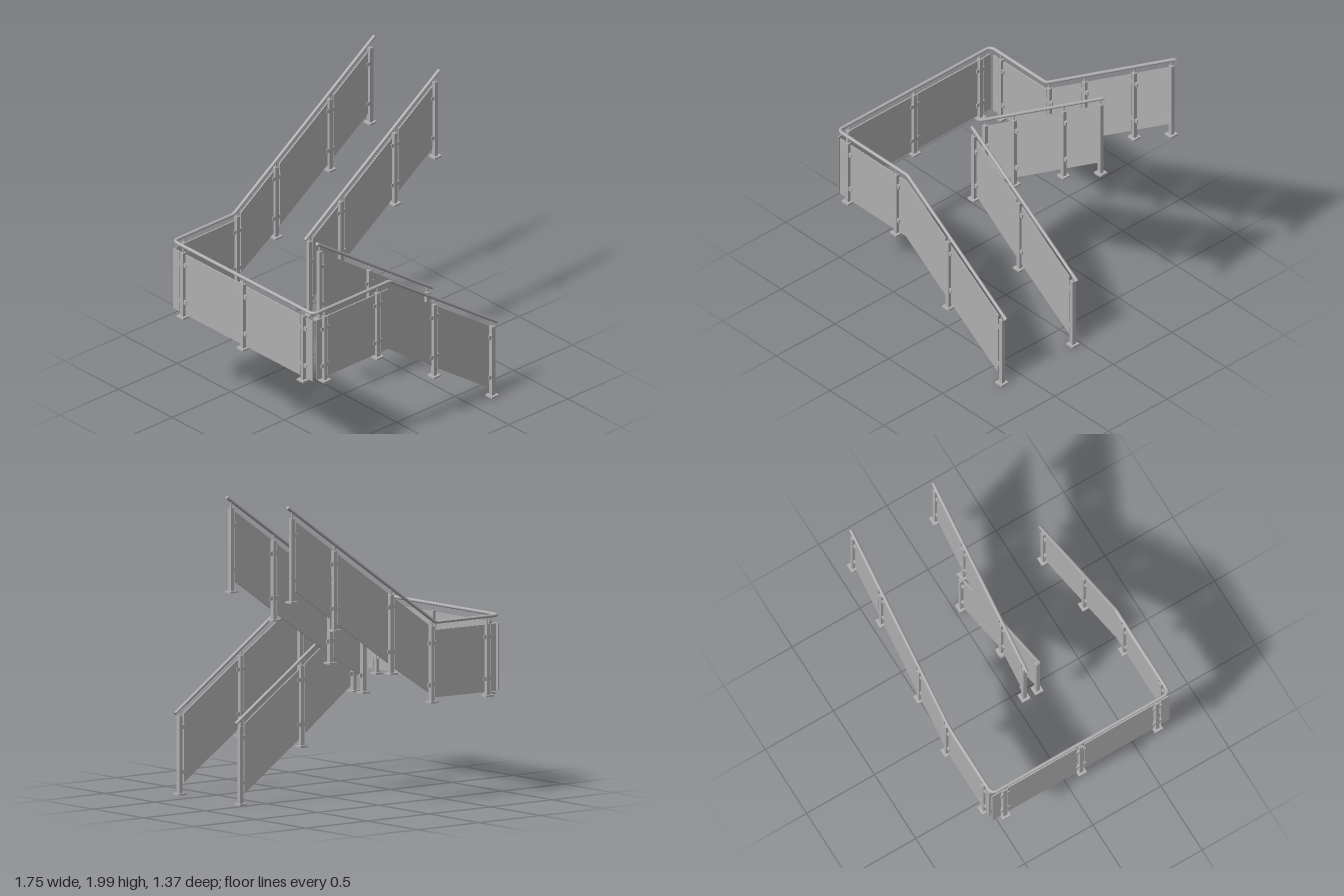
import * as THREE from 'three';

const LEVEL = 1.15, RAIL_R = 0.011, SIDE_X = -0.85, OUT_Z = 0.653;

export function createModel() {
  const model = new THREE.Group();
  model.name = 'stairRailing';
  const steel = new THREE.MeshStandardMaterial({ color: 0xb0b0b0 });
  steel.name = 'grey steel';

  const add = (parent, name, geo, x = 0, y = 0, z = 0) => {
    const m = new THREE.Mesh(geo, steel);
    m.name = name;
    m.position.set(x, y, z);
    parent.add(m);
    return m;
  };

  // Handrail height along each flight
  const up = x => LEVEL + 0.696 * Math.max(0, x + 0.335);
  const down = x => LEVEL - 0.69 * Math.max(0, x + 0.2);
  const upInner = x => LEVEL + 0.696 * (x + 0.335);
  const downInner = x => LEVEL - 0.69 * (x + 0.2);
  const flat = () => LEVEL;

  // Round handrail through points, with rounded bends and closed ends
  function handrail(name, points) {
    const pts = points.map(p => new THREE.Vector3(p[0], p[1], p[2]));
    const path = new THREE.CurvePath();
    let from = pts[0];
    for (let i = 1; i < pts.length; i++) {
      const last = i === pts.length - 1, p = pts[i];
      const r = last ? 0 : points[i][3];
      const dirIn = p.clone().sub(pts[i - 1]).normalize();
      const a = p.clone().addScaledVector(dirIn, -r);
      path.add(new THREE.LineCurve3(from, a));
      if (last) break;
      const b = p.clone().addScaledVector(pts[i + 1].clone().sub(p).normalize(), r);
      path.add(new THREE.QuadraticBezierCurve3(a, p, b));
      from = b;
    }
    const segs = Math.ceil(path.getLength() / 0.012);
    add(model, name, new THREE.TubeGeometry(path, segs, RAIL_R, 14, false));
    for (const [t, s] of [[0, -1], [1, 1]]) {
      const p = path.getPointAt(t), dir = path.getTangentAt(t).multiplyScalar(s);
      const cap = add(model, name + 'Cap', new THREE.CircleGeometry(RAIL_R, 14), p.x, p.y, p.z);
      cap.quaternion.setFromUnitVectors(new THREE.Vector3(0, 0, 1), dir);
    }
  }

  // One straight run along local x: posts [x, foot, clamp sides], panels [x0, x1, bend]
  function run(name, railY, sloped, posts, panels) {
    const g = new THREE.Group();
    g.name = name;
    for (const [x, foot, sides] of posts) {
      const top = railY(x) - 0.045;
      add(g, 'basePlate', new THREE.BoxGeometry(0.06, 0.012, 0.06), x, foot + 0.006, 0);
      add(g, 'post', new THREE.BoxGeometry(0.027, top - foot, 0.027), x, (top + foot) / 2, 0);
      add(g, 'railBracket', new THREE.CylinderGeometry(0.006, 0.006, 0.045, 8), x, top + 0.02, 0);
      // glass clamps on each side of the post
      const onSlope = sloped && x > -0.2;
      for (const s of sides)
        for (const h of onSlope ? [0.43, 0.145] : [0.38, 0.115])
          add(g, 'clamp', new THREE.BoxGeometry(0.024, 0.026, 0.02), x + s * 0.024, foot + h, 0);
    }
    const topY = x => railY(x) - 0.051;
    const lowY = x => railY(x) - (sloped && x > -0.2 ? 0.495 : 0.48);
    for (const [x0, x1, bend] of panels) {
      const xs = bend === undefined ? [x0, x1] : [x0, bend, x1];
      const outline = [
        ...xs.map(x => new THREE.Vector2(x, lowY(x))),
        ...xs.slice().reverse().map(x => new THREE.Vector2(x, topY(x))),
      ];
      const geo = new THREE.ExtrudeGeometry(new THREE.Shape(outline), { depth: 0.008, bevelEnabled: false });
      add(g, 'panel', geo, 0, 0, -0.004);
    }
    model.add(g);
    return g;
  }

  const both = [-1, 1];
  const L = 0.64;

  // Outer lower flight with its piece of landing
  run('frontOuterRun', down, true,
    [[-0.755, L, both], [-0.305, L, both], [0.18, 0.325, both], [0.675, 0, [-1]]],
    [[-0.825, -0.78], [-0.73, -0.33], [-0.275, 0.155, -0.215], [0.205, 0.645]]
  ).position.z = OUT_Z;

  // Inner lower flight
  run('frontInnerRun', downInner, true,
    [[-0.243, L, [1]], [0.18, 0.325, both], [0.675, 0, [-1]]],
    [[-0.215, 0.155], [0.205, 0.645]]
  ).position.z = 0.048;

  // Outer upper flight with its piece of landing
  run('backOuterRun', up, true,
    [[-0.755, L, both], [-0.305, L, both], [0.025, 0.85, both], [0.485, 1.165, both], [0.83, 1.375, [-1]]],
    [[-0.825, -0.78], [-0.73, -0.33], [-0.275, 0], [0.055, 0.46], [0.515, 0.805]]
  ).position.z = -OUT_Z;

  // Inner upper flight
  run('backInnerRun', upInner, true,
    [[-0.243, L, [1]], [0.025, 0.85, both], [0.485, 1.165, both], [0.83, 1.375, [-1]]],
    [[-0.215, 0], [0.055, 0.46], [0.515, 0.805]]
  ).position.z = -0.048;

  // Landing side, turned to run along z
  const side = run('landingRun', flat, false,
    [[-0.56, L, both], [0, L, both], [0.56, L, both]],
    [[-0.65, -0.588], [-0.535, -0.028], [0.028, 0.535], [0.588, 0.65]]);
  side.position.x = SIDE_X;
  side.rotation.y = Math.PI / 2;

  // Handrails: one continuous around the landing, two inner ones
  handrail('outerHandrail', [
    [0.715, down(0.715), OUT_Z],
    [-0.2, LEVEL, OUT_Z, 0.02],
    [SIDE_X, LEVEL, OUT_Z, 0.045],
    [SIDE_X, LEVEL, -OUT_Z, 0.045],
    [-0.335, LEVEL, -OUT_Z, 0.02],
    [0.865, up(0.865), -OUT_Z],
  ]);
  handrail('frontInnerHandrail', [[-0.265, downInner(-0.265), 0.048], [0.715, downInner(0.715), 0.048]]);
  handrail('backInnerHandrail', [[-0.28, upInner(-0.28), -0.048], [0.865, upInner(0.865), -0.048]]);

  return model;
}
